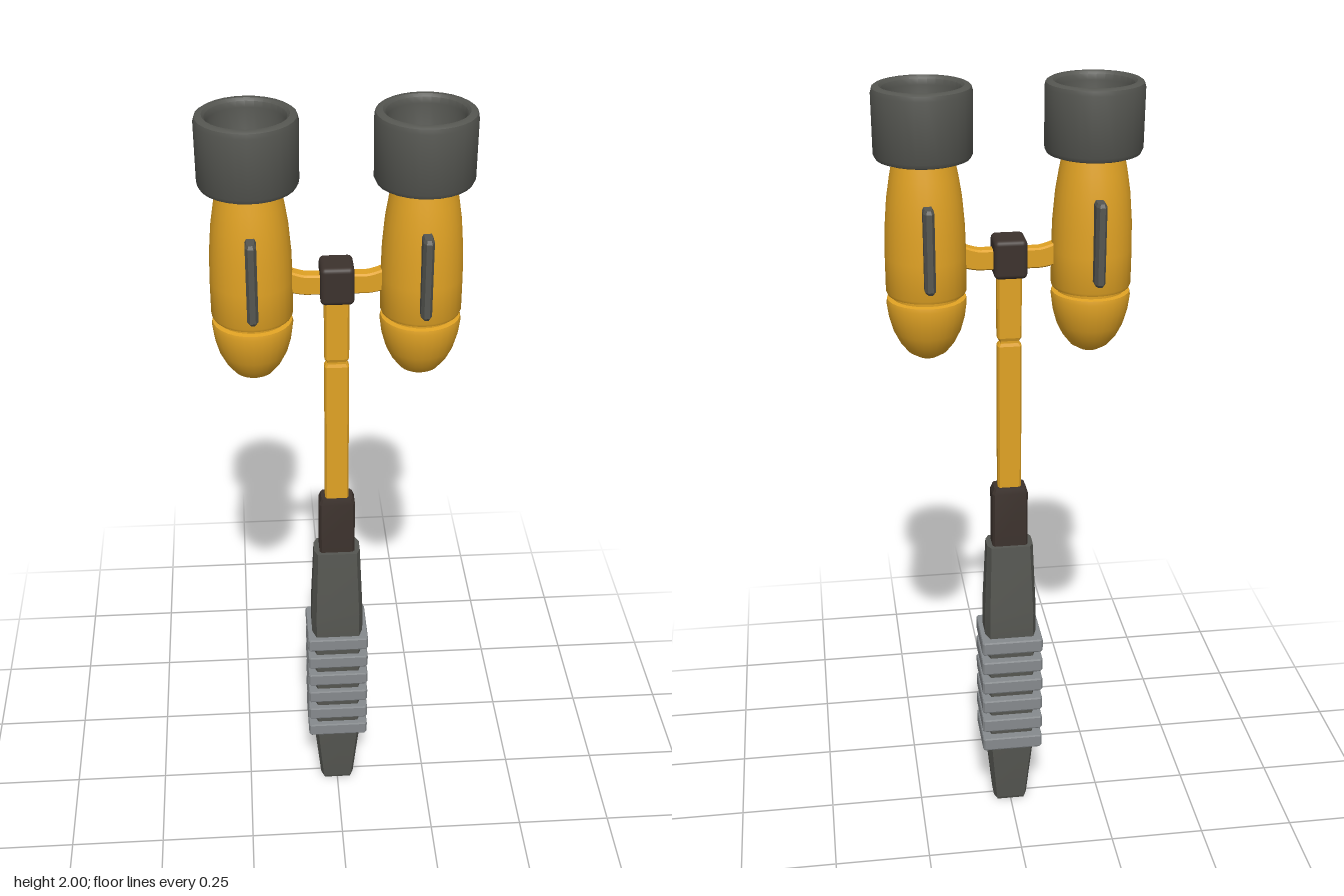
import * as THREE from 'three';
import { toCreasedNormals } from 'three/addons/utils/BufferGeometryUtils.js';
import { RoundedBoxGeometry } from 'three/addons/geometries/RoundedBoxGeometry.js';

const mat = (name, color) => {
  const m = new THREE.MeshStandardMaterial({ color });
  m.name = name;
  return m;
};

function add(parent, name, geometry, material, x = 0, y = 0, z = 0) {
  const mesh = new THREE.Mesh(geometry, material);
  mesh.name = name;
  mesh.position.set(x, y, z);
  parent.add(mesh);
  return mesh;
}

// Stacks eight-sided cross-sections [y, halfWidth, halfDepth] from bottom to top.
// cx and cz are the corner cuts as fractions of the half sizes.
function loft(sections, cx, cz) {
  const pos = [];
  const idx = [];
  for (const [y, w, d] of sections) {
    const a = w * (1 - cx), b = d * (1 - cz);
    for (const [x, z] of [[a, d], [w, b], [w, -b], [a, -d], [-a, -d], [-w, -b], [-w, b], [-a, d]]) pos.push(x, y, z);
  }
  const last = (sections.length - 1) * 8;
  for (let s = 0; s < last; s += 8) {
    for (let i = 0; i < 8; i++) {
      const j = (i + 1) % 8;
      idx.push(s + i, s + j, s + 8 + j, s + i, s + 8 + j, s + 8 + i);
    }
  }
  for (let i = 1; i < 7; i++) {
    idx.push(0, i + 1, i);
    idx.push(last, last + i, last + i + 1);
  }
  const g = new THREE.BufferGeometry();
  g.setAttribute('position', new THREE.Float32BufferAttribute(pos, 3));
  g.setIndex(idx);
  return toCreasedNormals(g, 0.2);
}

const lathe = (points) =>
  toCreasedNormals(new THREE.LatheGeometry(points.map(([r, y]) => new THREE.Vector2(r, y)), 28), 0.6);

export function createModel() {
  const yellow = mat('yellow', 0xe0a224);
  const darkGrey = mat('dark grey', 0x555651);
  const lightGrey = mat('light grey', 0x868a8d);
  const brown = mat('dark brown', 0x3c322d);
  const model = new THREE.Group();
  model.name = 'twinPodTool';

  // Tapered grip with raised rings
  const grip = new THREE.Group();
  grip.name = 'grip';
  model.add(grip);
  add(grip, 'handle', loft([
    [0, 0.043, 0.035], [0.008, 0.046, 0.038], [0.2, 0.065, 0.056],
    [0.55, 0.068, 0.058], [0.62, 0.068, 0.057], [0.81, 0.06, 0.038],
  ], 0.16, 0.5), darkGrey);
  for (let i = 0; i < 6; i++) {
    add(grip, 'gripRing', loft([
      [-0.019, 0.079, 0.073], [-0.015, 0.081, 0.075], [0.015, 0.081, 0.075], [0.019, 0.079, 0.073],
    ], 0.06, 0.08), lightGrey, 0, 0.22 + i * 0.0616, -0.004);
  }

  // Collar and two-piece flat shaft
  add(model, 'collar', loft([[0.8, 0.046, 0.028], [0.96, 0.046, 0.028], [0.975, 0.04, 0.025]], 0.12, 0.25), brown);
  add(model, 'lowerShaft', loft([[0.96, 0.03, 0.017], [1.36, 0.03, 0.017], [1.368, 0.025, 0.014]], 0.15, 0.4), yellow);
  add(model, 'shaftJoint', new THREE.BoxGeometry(0.046, 0.03, 0.026), yellow, 0, 1.37, 0);
  add(model, 'upperShaft', loft([[1.374, 0.025, 0.014], [1.382, 0.03, 0.017], [1.56, 0.03, 0.017]], 0.15, 0.4), yellow);
  add(model, 'hub', new RoundedBoxGeometry(0.08, 0.096, 0.086, 3, 0.012), brown, 0, 1.588, 0);

  // Curved arm section, drawn in the front plane and given depth
  const armShape = new THREE.Shape();
  armShape.moveTo(0.02, 1.562);
  armShape.lineTo(0.07, 1.562);
  armShape.quadraticCurveTo(0.095, 1.563, 0.125, 1.575);
  armShape.lineTo(0.125, 1.622);
  armShape.quadraticCurveTo(0.09, 1.606, 0.07, 1.604);
  armShape.lineTo(0.02, 1.604);
  armShape.closePath();
  const armGeometry = new THREE.ExtrudeGeometry(armShape, {
    depth: 0.026, bevelEnabled: true, bevelThickness: 0.005, bevelSize: 0.004, bevelSegments: 1, curveSegments: 6,
  });
  armGeometry.translate(0, 0, -0.013);

  // Pod body, grooved nose and hollow cap profiles
  const bodyGeometry = lathe([
    [0.075, 1.505], [0.094, 1.507], [0.097, 1.514], [0.097, 1.6], [0.095, 1.67],
    [0.089, 1.74], [0.081, 1.79], [0.072, 1.835], [0, 1.835],
  ]);
  const noseGeometry = lathe([
    [0, 1.34], [0.025, 1.344], [0.048, 1.358], [0.067, 1.382], [0.082, 1.412],
    [0.092, 1.448], [0.097, 1.485], [0.095, 1.495], [0.083, 1.497], [0.083, 1.508],
  ]);
  const capGeometry = lathe([
    [0, 1.83], [0.1, 1.83], [0.111, 1.834], [0.116, 1.844], [0.117, 1.985], [0.114, 1.996],
    [0.108, 2], [0.098, 2], [0.092, 1.994], [0.089, 1.98], [0.089, 1.89], [0.078, 1.87], [0, 1.865],
  ]);

  for (const side of [1, -1]) {
    const arm = add(model, side > 0 ? 'leftArm' : 'rightArm', armGeometry, yellow);
    if (side < 0) arm.rotation.y = Math.PI;

    const pod = new THREE.Group();
    pod.name = side > 0 ? 'leftPod' : 'rightPod';
    pod.position.x = side * 0.2;
    model.add(pod);
    add(pod, 'podBody', bodyGeometry, yellow);
    add(pod, 'podNose', noseGeometry, yellow);
    add(pod, 'podCap', capGeometry, darkGrey);
    // Narrow fins on the front and back
    for (const f of [1, -1]) {
      add(pod, f > 0 ? 'frontFin' : 'backFin', loft([
        [1.54, 0.009, 0.026], [1.547, 0.013, 0.031], [1.733, 0.013, 0.031], [1.741, 0.009, 0.026],
      ], 0.5, 0.4), darkGrey, 0, 0, f * 0.1);
    }
  }
  return model;
}
